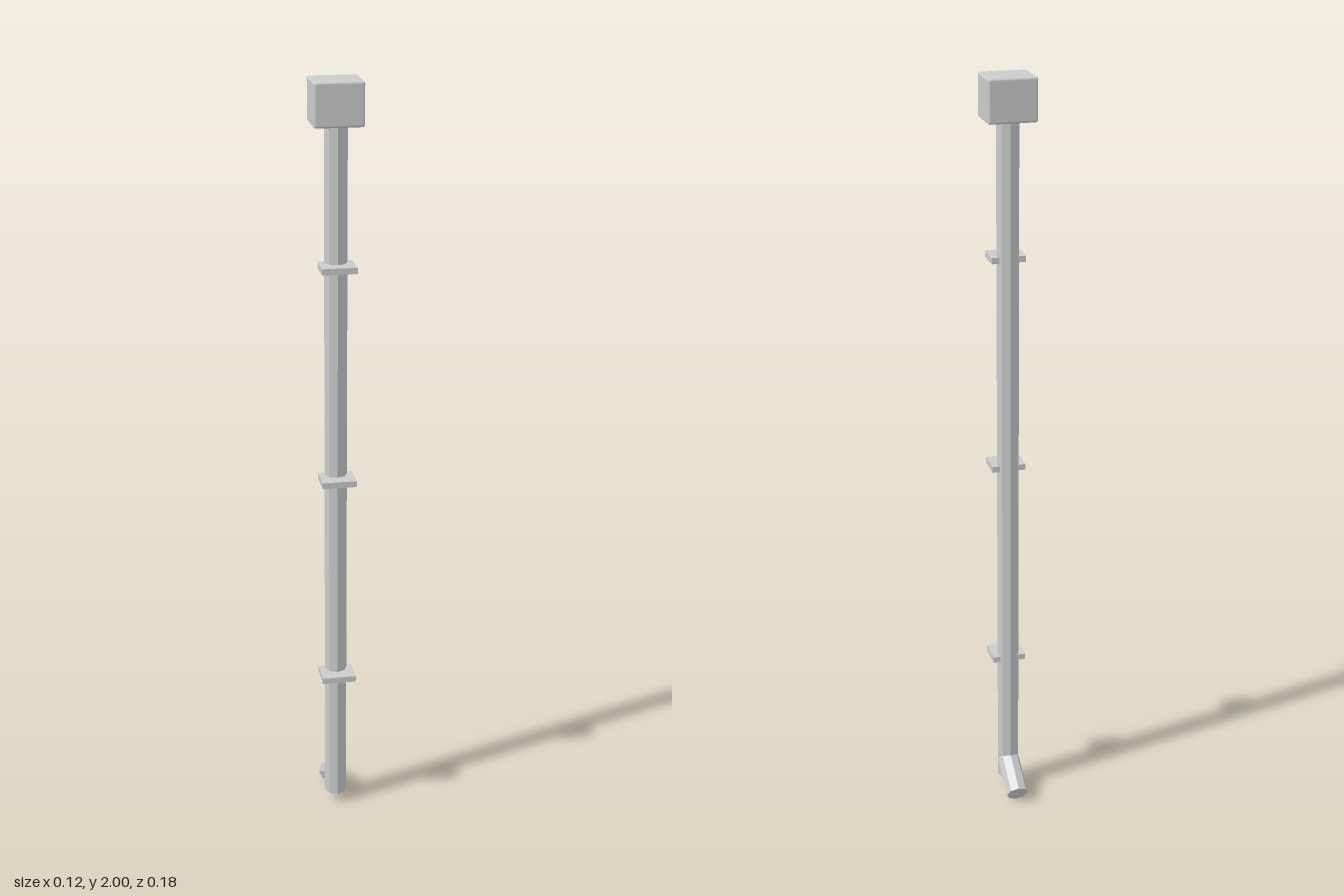
import * as THREE from 'three';
import { RoundedBoxGeometry } from 'three/addons/geometries/RoundedBoxGeometry.js';

const PIPE_Z = 0.029;
const RADIUS = 0.0295;

export function createModel() {
  const group = new THREE.Group();
  const smooth = new THREE.MeshStandardMaterial({ color: 0xcccccc });
  const faceted = new THREE.MeshStandardMaterial({ color: 0xcccccc, flatShading: true });

  const add = (name, geometry, material, y, z) => {
    const mesh = new THREE.Mesh(geometry, material);
    mesh.name = name;
    mesh.position.set(0, y, z);
    group.add(mesh);
    return mesh;
  };

  // Collecting box at the top
  add('hopperBox', new RoundedBoxGeometry(0.125, 0.11, 0.111, 2, 0.006), smooth, 1.945, 0.0275);

  // Long eight-sided downpipe
  const bottom = 0.03, top = 1.9;
  add('downpipe', new THREE.CylinderGeometry(RADIUS, RADIUS, top - bottom, 8),
    faceted, (top + bottom) / 2, PIPE_Z);

  // Wall brackets, evenly spaced
  for (let i = 0; i < 3; i++) {
    add(`bracket${i + 1}`, new THREE.BoxGeometry(0.089, 0.016, 0.074), faceted, 0.405 + i * 0.567, 0.053);
  }

  // Outlet spout sloping down and back
  const tilt = Math.PI / 3, length = 0.114;
  const spout = add('spout', new THREE.CylinderGeometry(RADIUS, RADIUS, length, 8), faceted,
    0.0256 + Math.cos(tilt) * length / 2, -0.077 + Math.sin(tilt) * length / 2);
  spout.rotation.x = tilt;

  return group;
}
